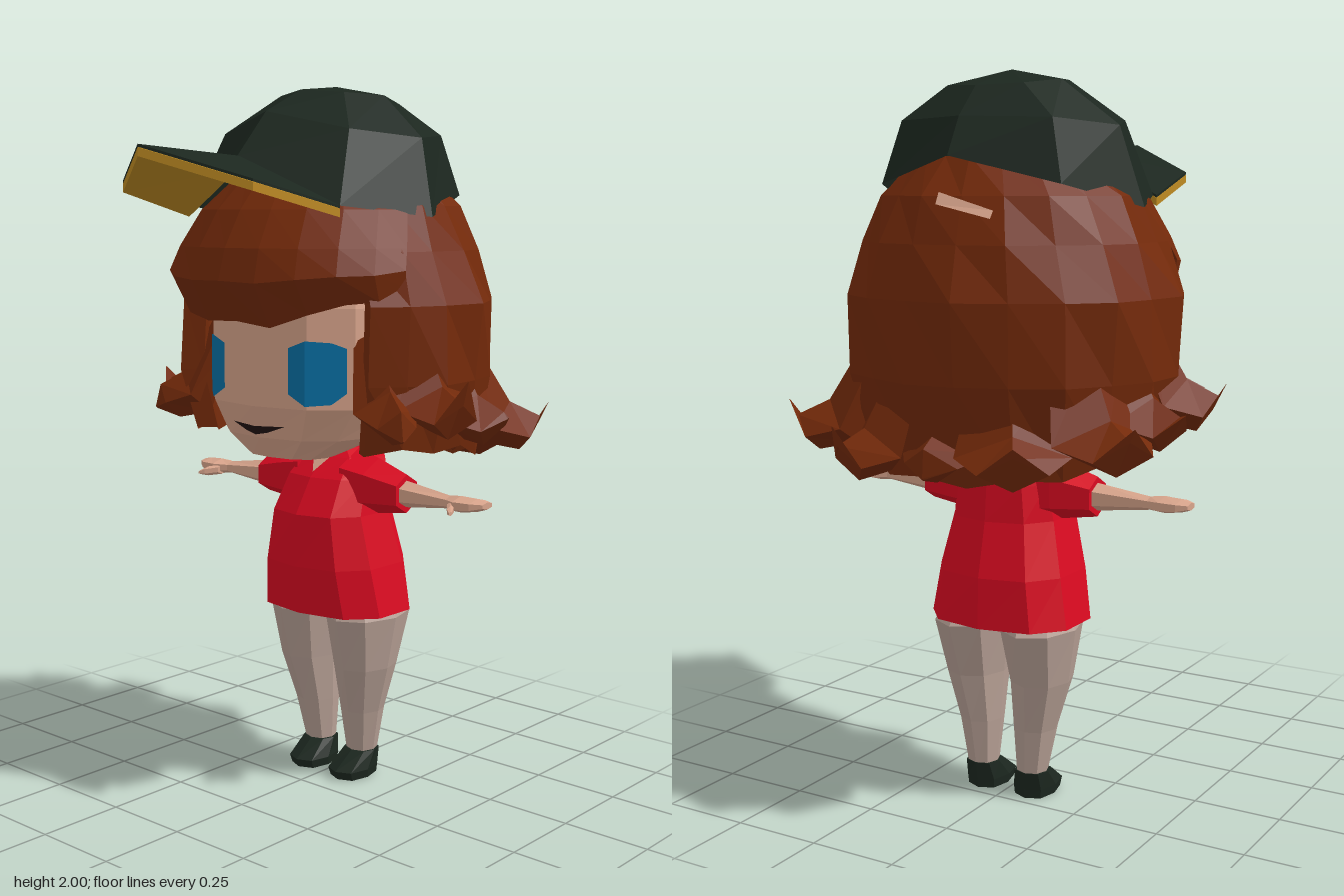
import * as THREE from 'three';

const solid = (name, color) => Object.assign(new THREE.MeshStandardMaterial({ color }), { name });
const thin = (name, color) => Object.assign(new THREE.MeshStandardMaterial({ color, side: THREE.DoubleSide }), { name });

// Faceted skin over cross-sections; caps fan from the first point of the end rings.
function loft(rings, { closed = true, caps = true } = {}) {
  const out = [];
  const tri = (a, b, c) => out.push([a, b, c]);
  const n = rings[0].length;
  for (let i = 0; i + 1 < rings.length; i++) {
    for (let j = 0; j < (closed ? n : n - 1); j++) {
      const k = (j + 1) % n;
      tri(rings[i][j], rings[i][k], rings[i + 1][k]);
      tri(rings[i][j], rings[i + 1][k], rings[i + 1][j]);
    }
  }
  if (caps) {
    const first = rings[0], last = rings[rings.length - 1];
    for (let j = 1; j + 1 < n; j++) {
      tri(first[0], first[j + 1], first[j]);
      if (rings.length > 1) tri(last[0], last[j], last[j + 1]);
    }
  }
  // Turn the faces outwards by the sign of the volume about the centre.
  const c = new THREE.Vector3();
  rings.flat().forEach(p => c.add(new THREE.Vector3(...p)));
  c.divideScalar(rings.length * n);
  let volume = 0;
  for (const t of out) {
    const [p, q, r] = t.map(v => new THREE.Vector3(...v).sub(c));
    volume += p.dot(q.cross(r));
  }
  if (volume < 0) out.forEach(t => t.reverse());
  const g = new THREE.BufferGeometry();
  g.setAttribute('position', new THREE.Float32BufferAttribute(out.flat(2), 3));
  g.computeVertexNormals();
  return g;
}

const pow = (v, e) => Math.sign(v) * Math.abs(v) ** e;

// Level ring from half width, front z and back z; starts at the front.
function level(y, rx, front, back, n = 12, e = 0.8, cx = 0) {
  const cz = (front + back) / 2, rz = (front - back) / 2;
  return Array.from({ length: n }, (_, i) => {
    const t = i / n * Math.PI * 2;
    return [cx + rx * pow(Math.sin(t), e), y, cz + rz * pow(Math.cos(t), e)];
  });
}

// Upright ring across an arm.
function across(x, y, z, ry, rz, n = 6) {
  return Array.from({ length: n }, (_, i) => {
    const t = (i + 0.5) / n * Math.PI * 2;
    return [x, y + ry * Math.sin(t), z + rz * Math.cos(t)];
  });
}

export function createModel() {
  const model = new THREE.Group();
  const skin = thin('skin', 0xd9a58c), tights = solid('tights', 0xb8a196);
  const red = solid('shirt red', 0xdb0a21), green = thin('dark green', 0x1c271f);
  const auburn = thin('auburn', 0x742a0a), blue = thin('eye blue', 0x0871a6);
  const gold = solid('brim gold', 0xbd8a22), dark = thin('mouth dark', 0x1e1212);
  const add = (name, geometry, material) => {
    const m = new THREE.Mesh(geometry, material);
    m.name = name;
    model.add(m);
  };

  // Head and neck
  add('head', loft([
    level(0.98, 0.13, 0.13, -0.06), level(1.04, 0.235, 0.17, -0.23),
    level(1.13, 0.3, 0.2, -0.36), level(1.4, 0.3, 0.2, -0.36),
    level(1.6, 0.27, 0.16, -0.36), level(1.74, 0.18, 0.08, -0.3)]), skin);
  add('neck', loft([level(0.92, 0.06, -0.1, -0.24, 8), level(1.06, 0.055, -0.11, -0.23, 8)]), skin);

  // Shirt and neckline
  add('shirt', loft([
    level(0.51, 0.225, 0.012, -0.34, 10), level(0.65, 0.2, 0.03, -0.335, 10),
    level(0.8, 0.165, 0.022, -0.3, 10), level(0.9, 0.15, -0.04, -0.29, 10),
    level(0.955, 0.13, -0.1, -0.28, 10), level(0.98, 0.075, -0.13, -0.26, 10)]), red);
  add('neckline', loft([[[0, 0.915, -0.05], [0.05, 0.982, -0.115], [-0.05, 0.982, -0.115]]]), skin);

  for (const s of [1, -1]) {
    const side = s > 0 ? 'left' : 'right';
    const mirror = rings => rings.map(r => r.map(([x, y, z]) => [s * x, y, z]));

    // Arms
    add(side + 'Sleeve', loft(mirror([across(0.08, 0.885, -0.16, 0.095, 0.1),
      across(0.16, 0.88, -0.155, 0.08, 0.085), across(0.265, 0.87, -0.15, 0.055, 0.055)])), red);
    add(side + 'Arm', loft(mirror([across(0.25, 0.87, -0.15, 0.04, 0.042),
      across(0.42, 0.868, -0.145, 0.018, 0.025), across(0.46, 0.868, -0.14, 0.023, 0.048),
      across(0.51, 0.87, -0.145, 0.018, 0.045), across(0.54, 0.872, -0.15, 0.01, 0.025)])), skin);
    add(side + 'Thumb', loft(mirror([across(0.44, 0.862, -0.12, 0.015, 0.02),
      across(0.465, 0.858, -0.085, 0.014, 0.018), across(0.48, 0.855, -0.065, 0.006, 0.008)])), skin);

    // Legs and shoes
    add(side + 'Leg', loft([
      level(0.06, 0.042, -0.14, -0.225, 8, 0.9, s * 0.08), level(0.2, 0.06, -0.11, -0.24, 8, 0.9, s * 0.088),
      level(0.34, 0.083, -0.068, -0.268, 8, 0.95, s * 0.104), level(0.495, 0.105, -0.03, -0.318, 8, 1, s * 0.107),
      level(0.54, 0.09, -0.05, -0.29, 8, 1, s * 0.1)]), tights);
    add(side + 'Shoe', loft([
      level(0, 0.055, -0.075, -0.222, 8, 0.8, s * 0.077), level(0.025, 0.058, -0.065, -0.225, 8, 0.8, s * 0.077),
      level(0.075, 0.05, -0.135, -0.228, 8, 0.8, s * 0.08)]), green);

    // Eye plates follow the curve of the face
    const cols = [[0.12, 1.17, 1.295, 0.184], [0.172, 1.14, 1.315, 0.176], [0.225, 1.145, 1.31, 0.128], [0.255, 1.175, 1.295, 0.1]];
    add(side + 'Eye', loft(mirror([cols.map(c => [c[0], c[1], c[3]]), cols.map(c => [c[0], c[2], c[3]])]),
      { closed: false, caps: false }), blue);
  }

  add('mouth', loft([
    [[-0.095, 1.078, 0.174], [0, 1.074, 0.191], [0.095, 1.078, 0.174]],
    [[-0.04, 1.058, 0.18], [0, 1.05, 0.186], [0.04, 1.058, 0.18]]], { closed: false, caps: false }), dark);

  // Hair mass: a C-shaped section, open at the face
  const zc = -0.15, N = 15;
  const hairRing = ([y, w, back, front], row) => {
    const arc = (k, dy) => Array.from({ length: N + 1 }, (_, i) => {
      const a = (i / N * 2 - 1) * 2.36, c = Math.cos(a), e = c > 0 ? 1 : 0.8;
      const wave = k * (1 + 0.022 * Math.sin(i * 2.4 + row * 1.9));
      const drop = row === 0 ? dy * Math.max(0, c) + 0.02 * (i % 2) : 0;
      return [w * wave * pow(Math.sin(a), e), y - drop, zc - pow(c, e) * wave * (c > 0 ? zc - back : front - zc)];
    });
    return [...arc(1, 0.08), ...arc(0.85, 0.03).reverse()];
  };
  add('hair', loft([
    [1.03, 0.42, -0.5, 0.18], [1.2, 0.46, -0.565, 0.21],
    [1.41, 0.465, -0.57, 0.21], [1.55, 0.41, -0.535, 0.18], [1.67, 0.355, -0.495, 0.13],
    [1.77, 0.25, -0.42, 0.04]].map(hairRing), { caps: false }), auburn);

  // Hair grip at the back
  add('hairGrip', loft([[[-0.15, 1.635, -0.49], [0, 1.68, -0.505], [0, 1.65, -0.52], [-0.15, 1.615, -0.505]]]), skin);

  // Fringe: rows swept across the brow, turning under at the lower edge
  const fringeRow = ([y, w, front, sideZ, dip]) => Array.from({ length: 11 }, (_, i) => {
    const u = i / 5 - 1, a = u * 1.45, c = Math.cos(a);
    const sag = dip * (c * c * 0.095 + 0.012 * Math.sin(i * 2.3));
    return [w * Math.sin(a), y - sag, sideZ + (front - sideZ) * c];
  });
  add('fringe', loft([
    [1.76, 0.24, 0.15, -0.12, 0], [1.66, 0.345, 0.24, -0.08, 0], [1.56, 0.385, 0.3, -0.03, 0],
    [1.5, 0.405, 0.325, 0, 0.3], [1.45, 0.4, 0.26, 0, 1], [1.48, 0.33, 0.18, -0.02, 0.6]].map(fringeRow),
    { closed: false, caps: false }), auburn);

  // Flicked hair ends: angle from the back, reach, lowest and tip heights, width
  const flicks = [
    [2, 0.42, 0.94, 0.96, 0.14], [31, 0.53, 0.93, 1.08, 0.15], [-31, 0.5, 0.94, 1.06, 0.15],
    [57, 0.61, 0.98, 1.12, 0.15], [-61, 0.59, 0.98, 1.11, 0.15], [81, 0.55, 1.02, 1.1, 0.13],
    [-82, 0.56, 1.02, 1.12, 0.13], [104, 0.59, 1.06, 1.22, 0.12], [-103, 0.59, 1.05, 1.18, 0.12],
    [121, 0.55, 1.05, 1.07, 0.09], [-121, 0.54, 1.05, 1.08, 0.09]];
  for (const [deg, reach, low, tip, w] of flicks) {
    const a = THREE.MathUtils.degToRad(deg), sx = Math.sin(a), sz = -Math.cos(a);
    const section = (r, y, half, thick) => [[0, thick], [half, 0], [0, -thick], [-half, 0]].map(([t, d]) =>
      [(r + d * 0.5) * sx - t * sz, y + d * 0.8, zc + (r + d * 0.5) * sz + t * sx]);
    add('hairFlick', loft([
      section(reach * 0.62, low + 0.26, w * 0.7, 0.05), section(reach * 0.76, low + 0.08, w, 0.075),
      section(reach * 0.92, low + 0.05, w * 0.6, 0.06), section(reach, tip, 0.004, 0.004)]), auburn);
  }

  // Cap crown: eight-sided, with a raised front and back edge
  const crown = (w, front, back, ys) => level(0, w, front, back, 8, 0.92).map(([x, , z], i) =>
    [x, ys[Math.min(i, 8 - i)], z]);
  add('capCrown', loft([
    crown(0.375, 0.25, -0.465, [1.8, 1.67, 1.64, 1.7, 1.77]),
    crown(0.315, 0.14, -0.41, [1.92, 1.87, 1.85, 1.865, 1.87]),
    crown(0.16, 0, -0.33, [1.985, 1.975, 1.97, 1.955, 1.95]),
    crown(0, -0.15, -0.15, [2, 2, 2, 2, 2])], { caps: false }), green);

  // Peak: a folded plate, green above and gold below
  const peak = dy => [[0, 1.8, 0.24], [-0.28, 1.67, 0.16], [-0.24, 1.735, 0.44], [0, 1.82, 0.6], [0.24, 1.735, 0.44], [0.28, 1.67, 0.16]]
    .map(([x, y, z]) => [x, y + dy, z]);
  add('capPeakTop', loft([peak(0), peak(-0.007)]), green);
  add('capPeakUnderside', loft([peak(-0.008), peak(-0.03)]), gold);

  return model;
}
